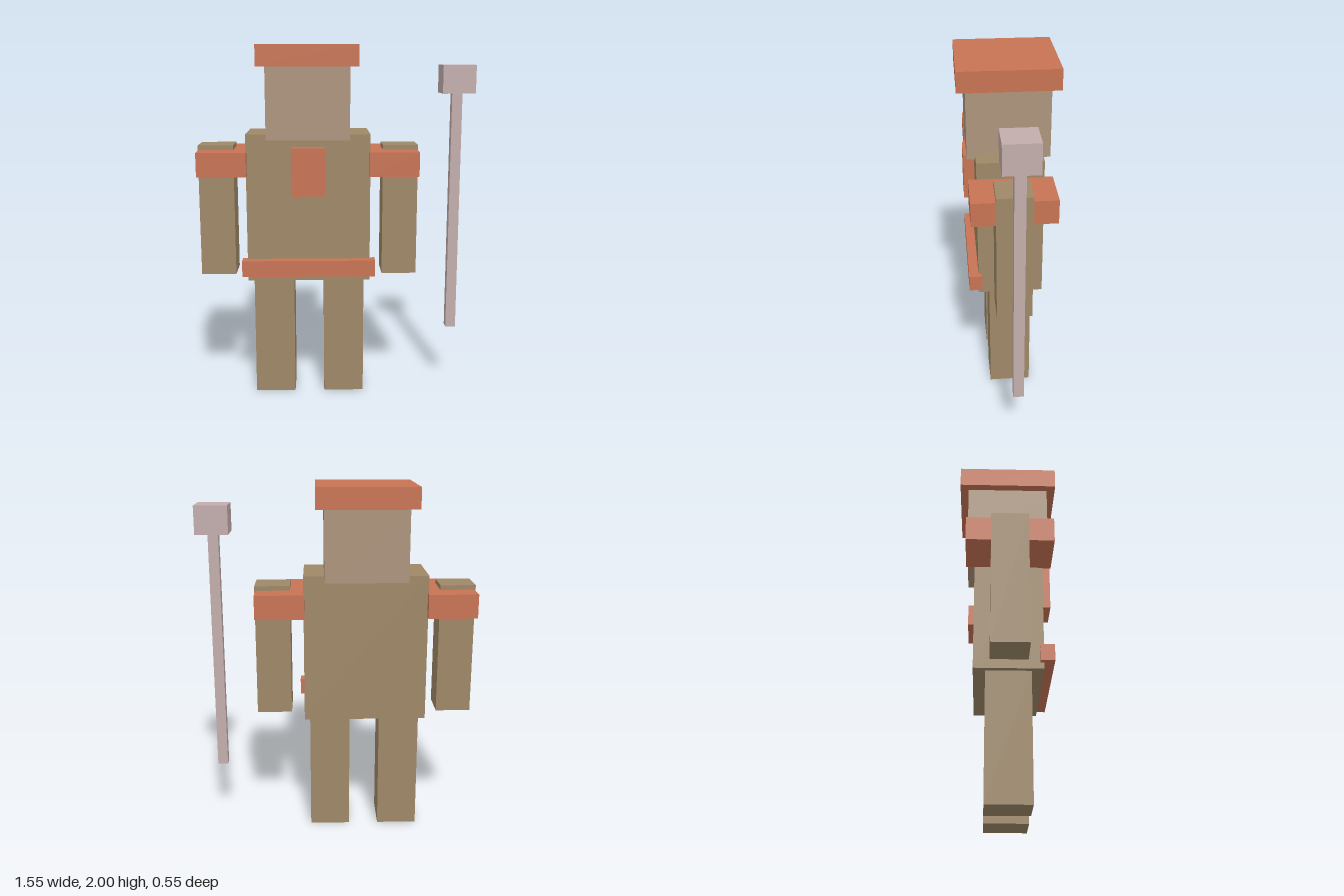
import * as THREE from 'three';

const material = (color) => new THREE.MeshStandardMaterial({ color, flatShading: true });

export function createModel() {
  const model = new THREE.Group();
  model.name = 'blockFigure';

  const cloth = material(0x9f8868);
  const skin = material(0xac947c);
  const trim = material(0xc87454);
  const metal = material(0xc2aeac);

  // Box from its size and centre
  const box = (parent, name, mat, [w, h, d], [x, y, z]) => {
    const mesh = new THREE.Mesh(new THREE.BoxGeometry(w, h, d), mat);
    mesh.name = name;
    mesh.position.set(x, y, z);
    parent.add(mesh);
  };

  // Figure stands off-centre to leave room for the staff
  const figure = new THREE.Group();
  figure.name = 'figure';
  figure.position.x = -0.158;
  model.add(figure);

  box(figure, 'torso', cloth, [0.686, 0.825, 0.366], [0, 1.107, 0]);
  box(figure, 'head', skin, [0.457, 0.395, 0.456], [0, 1.688, 0]);
  box(figure, 'hat', trim, [0.55, 0.115, 0.55], [0, 1.9425, 0]);
  box(figure, 'chestPlate', trim, [0.183, 0.265, 0.064], [0, 1.318, 0.213]);
  box(figure, 'belt', trim, [0.742, 0.091, 0.074], [0, 0.775, 0.2]);

  // Mirrored limbs and shoulder guards
  for (const [side, s] of [['left', 1], ['right', -1]]) {
    box(figure, side + 'Leg', cloth, [0.228, 0.695, 0.24], [s * 0.199, 0.3475, 0]);
    box(figure, side + 'Arm', cloth, [0.197, 0.741, 0.196], [s * 0.517, 1.08, 0]);
    box(figure, side + 'ShoulderGuard', trim, [0.272, 0.134, 0.456], [s * 0.474, 1.358, 0]);
  }

  // Staff floating beside the left hand
  const staff = new THREE.Group();
  staff.name = 'staff';
  staff.position.x = 0.681;
  model.add(staff);
  box(staff, 'staffShaft', metal, [0.058, 1.38, 0.058], [0, 1.045, 0]);
  box(staff, 'staffHead', metal, [0.183, 0.157, 0.183], [0, 1.812, 0]);

  return model;
}
